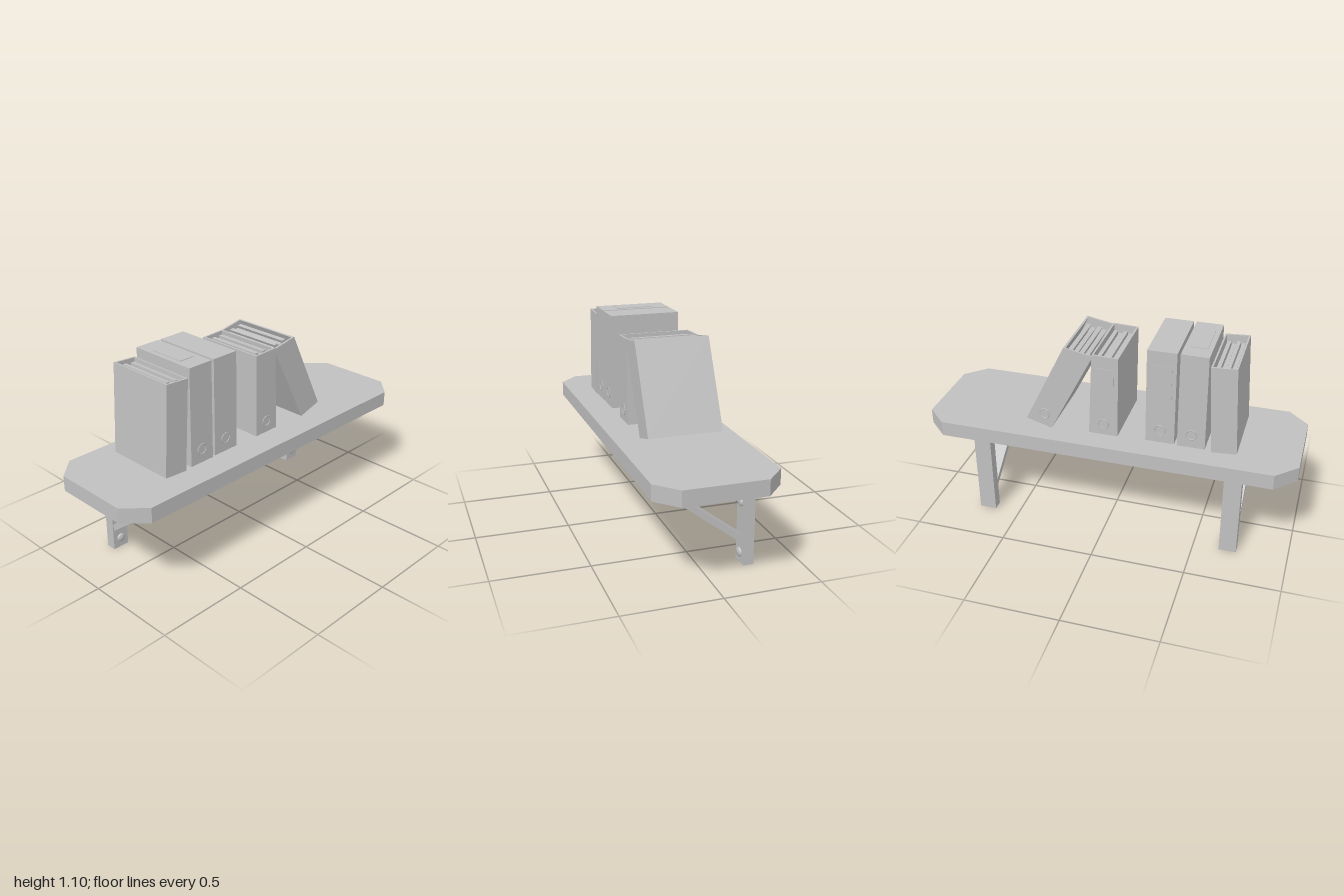
import * as THREE from 'three';

const grey = new THREE.MeshStandardMaterial({ color: 0xc0c0c0 });
grey.name = 'plain grey';

function mesh(name, geometry, parent) {
  const m = new THREE.Mesh(geometry, grey);
  m.name = name;
  parent.add(m);
  return m;
}

// Extrude a polygon of [x, y] points between z0 and z1
function prism(points, z0, z1) {
  const shape = new THREE.Shape(points.map(([x, y]) => new THREE.Vector2(x, y)));
  return new THREE.ExtrudeGeometry(shape, { depth: z1 - z0, bevelEnabled: false }).translate(0, 0, z0);
}

// Board with clipped corners
function addBoard(parent) {
  const outline = [
    [-0.89, -0.315], [0.89, -0.315], [1, -0.21], [1, 0.21],
    [0.89, 0.315], [-0.89, 0.315], [-1, 0.21], [-1, -0.21],
  ];
  mesh('shelfBoard', prism(outline, 0, 0.082).rotateX(-Math.PI / 2).translate(0, 0.478, 0), parent);
}

// Low domed bolt head, pointing along +y
function boltGeometry() {
  const profile = [[0.024, 0], [0.024, 0.006], [0.018, 0.012], [0, 0.015]];
  return new THREE.LatheGeometry(profile.map(([x, y]) => new THREE.Vector2(x, y)), 20);
}

// Wall post, diagonal strut with a foot under the board, and bolts
function addBracket(x, name, parent) {
  const bracket = new THREE.Group();
  bracket.name = name;
  bracket.position.x = x;
  parent.add(bracket);

  mesh('wallPost', new THREE.BoxGeometry(0.092, 0.478, 0.055).translate(0, 0.239, -0.24), bracket);

  const side = [
    [0.282, 0.478], [0.282, 0.462], [0.268, 0.452], [0.23, 0.452],
    [-0.213, 0.113], [-0.213, 0.153], [0.215, 0.478],
  ];
  mesh('strut', prism(side, -0.041, 0.041).rotateY(-Math.PI / 2), bracket);

  for (const y of [0.055, 0.325]) {
    const bolt = mesh('wallBolt', boltGeometry(), bracket);
    bolt.rotation.x = Math.PI / 2;
    bolt.position.set(0, y, -0.213);
  }
  const footBolt = mesh('footBolt', boltGeometry(), bracket);
  footBolt.rotation.x = Math.PI;
  footBolt.position.set(0, 0.453, 0.25);
}

// Box file; corners are bottom left, bottom right, top right, top left in x, y
function addFile({ name, corners, open, back = -0.2, frontRing, backRing, backLabel, topLabel }, parent) {
  const file = new THREE.Group();
  file.name = name;
  parent.add(file);
  const front = 0.183;
  const [bl, br, tr, tl] = corners;
  const at = (u, v) => [0, 1].map((i) =>
    (1 - v) * ((1 - u) * bl[i] + u * br[i]) + v * ((1 - u) * tl[i] + u * tr[i]));
  const slab = (part, u0, u1, v0, v1, z0, z1) =>
    mesh(part, prism([at(u0, v0), at(u1, v0), at(u1, v1), at(u0, v1)], z0, z1), file);

  if (open) {
    slab('leftCover', 0, 0.07, 0, 1, back, front);
    slab('rightCover', 0.93, 1, 0, 1, back, front);
    slab('frontSpine', 0.07, 0.93, 0, 1, front - 0.01, front);
    slab('backSpine', 0.07, 0.93, 0, 1, back, back + 0.01);
    slab('base', 0.07, 0.93, 0, 0.02, back + 0.01, front - 0.01);
    // Paper bundles with gaps between them
    [0.95, 0.97, 0.94, 0.965].forEach((height, i) => {
      const u = 0.13 + i * 0.19;
      slab('paperBundle', u, u + 0.15, 0.02, height, back + 0.02, front - 0.05);
    });
  } else {
    slab('closedBox', 0, 1, 0, 1, back, front);
  }

  // Finger rings low on the spines
  const ring = (z) => {
    const [x, y] = at(0.5, 0.14);
    mesh('fingerRing', new THREE.TorusGeometry(0.027, 0.003, 6, 28).translate(x, y, z), file);
  };
  if (frontRing) ring(front);
  if (backRing) ring(back);
  if (backLabel) slab('spineLabel', 0.15, 0.85, 0.5, 0.85, back - 0.002, back);
  if (topLabel) {
    const [x, y] = at(0.5, 1);
    mesh('topLabel', new THREE.BoxGeometry(0.09, 0.003, 0.2).translate(x, y + 0.0015, -0.01), file);
  }
}

export function createModel() {
  const model = new THREE.Group();
  model.name = 'wallShelfWithFiles';

  addBoard(model);
  addBracket(0.685, 'leftBracket', model);
  addBracket(-0.685, 'rightBracket', model);

  const files = [
    {
      name: 'leaningFileOne', open: true, back: -0.205,
      corners: [[-0.685, 0.575], [-0.555, 0.566], [-0.527, 1.047], [-0.658, 1.055]],
    },
    {
      name: 'closedFileOne', frontRing: true, backRing: true, topLabel: true,
      corners: [[-0.52, 0.572], [-0.375, 0.572], [-0.375, 1.094], [-0.517, 1.094]],
    },
    {
      name: 'closedFileTwo', frontRing: true, backRing: true, backLabel: true,
      corners: [[-0.36, 0.575], [-0.208, 0.575], [-0.208, 1.094], [-0.36, 1.094]],
    },
    {
      name: 'openFileTwo', open: true, back: -0.205, frontRing: true, backRing: true, backLabel: true,
      corners: [[-0.06, 0.572], [0.095, 0.572], [0.075, 1.028], [-0.064, 1.023]],
    },
    {
      name: 'leaningFileTwo', open: true, back: -0.212, backRing: true,
      corners: [[0.3, 0.566], [0.438, 0.606], [0.22, 1.05], [0.066, 1.022]],
    },
  ];
  files.forEach((file) => addFile(file, model));
  return model;
}
